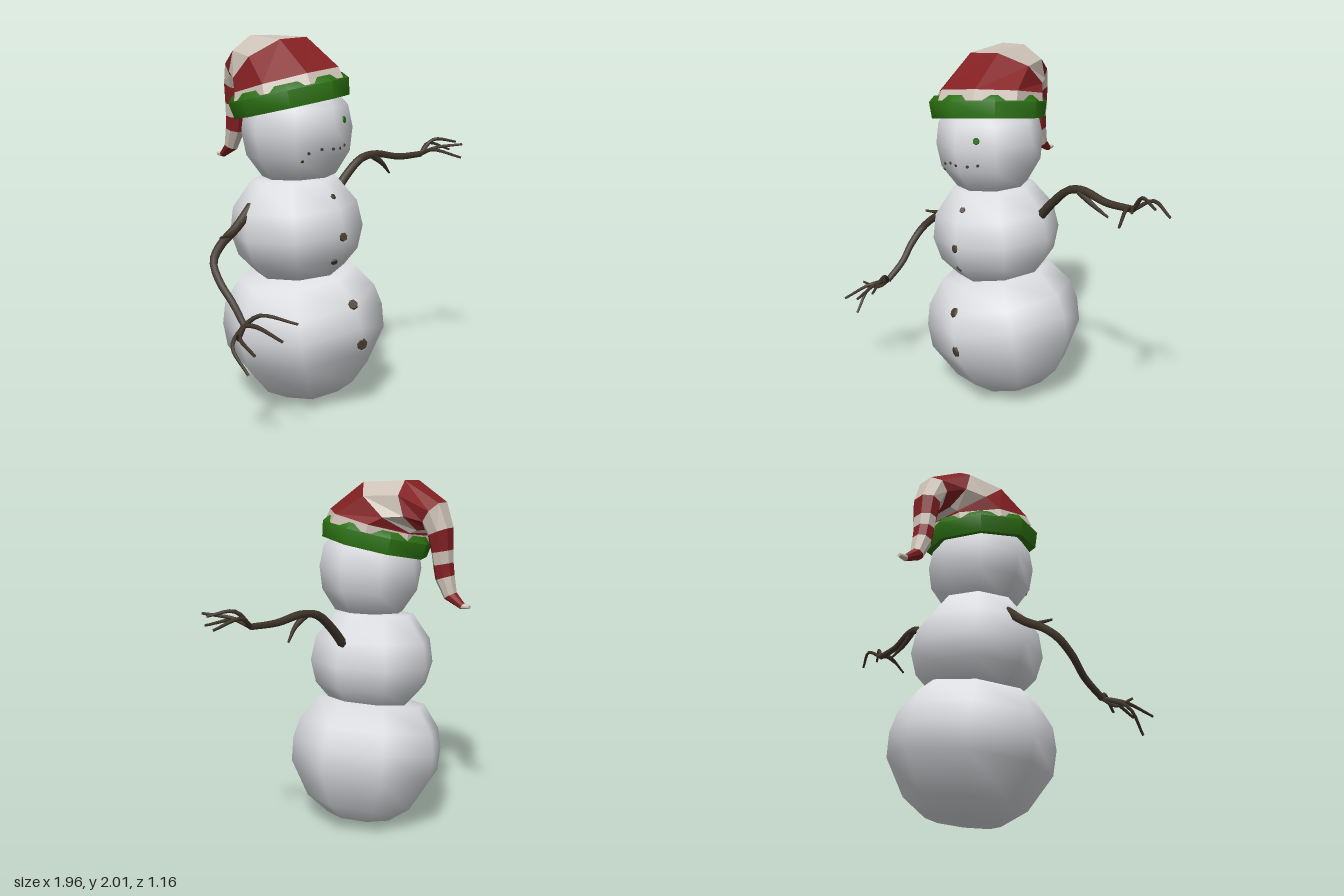
import * as THREE from 'three';
import { toCreasedNormals } from 'three/addons/utils/BufferGeometryUtils.js';

const V = (x, y, z) => new THREE.Vector3(x, y, z);
const mat = (name, color) => Object.assign(new THREE.MeshStandardMaterial({ color }), { name });

export function createModel() {
  const snow = mat('snow', 0xdcdee2);
  const red = mat('hatRed', 0x842022);
  const cream = mat('hatCream', 0xcdc2b7);
  const green = mat('green', 0x2b7011);
  const bark = mat('bark', 0x40352a);
  const coal = mat('coal', 0x4a3f32);
  red.side = cream.side = bark.side = THREE.DoubleSide;

  const model = new THREE.Group();
  model.name = 'snowman';
  const add = (name, geometry, material, parent = model) => {
    const mesh = new THREE.Mesh(geometry, material);
    mesh.name = name;
    parent.add(mesh);
    return mesh;
  };
  const profile = (pts) => pts.map(([r, y]) => new THREE.Vector2(r, y));

  // Snowballs: eight-sided, smooth, each leaning a little
  const ball = (name, pos, tilt, pts) => {
    const mesh = add(name, new THREE.LatheGeometry(profile(pts), 8), snow);
    mesh.position.set(...pos);
    mesh.rotation.z = tilt;
    mesh.updateMatrixWorld();
    return mesh;
  };
  const balls = [
    ball('baseBall', [-0.16, 0.4, 0.03], 0.18, [[0, -0.39], [0.2, -0.375], [0.33, -0.28],
      [0.445, -0.08], [0.45, 0.06], [0.42, 0.18], [0.32, 0.315], [0, 0.34]]),
    ball('middleBall', [-0.215, 0.97, 0.03], 0.08, [[0, -0.28], [0.24, -0.25], [0.33, -0.15],
      [0.365, -0.02], [0.34, 0.12], [0.23, 0.265], [0, 0.28]]),
    ball('head', [-0.23, 1.47, 0.055], 0.06, [[0, -0.25], [0.2, -0.22], [0.28, -0.1],
      [0.3, 0.03], [0.28, 0.15], [0.2, 0.24], [0, 0.27]]),
  ];

  // Pebbles pressed into the front: found by casting a ray onto the snow
  const ray = new THREE.Raycaster();
  const pebble = (name, x, y, r, material) => {
    ray.set(V(x, y, 3), V(0, 0, -1));
    const hit = ray.intersectObjects(balls)[0];
    if (!hit) return;
    const geo = new THREE.CylinderGeometry(r * 0.8, r, 0.012, 7).rotateX(Math.PI / 2);
    const mesh = add(name, geo, material);
    const normal = hit.face.normal.clone().transformDirection(hit.object.matrixWorld);
    mesh.position.copy(hit.point);
    mesh.quaternion.setFromUnitVectors(V(0, 0, 1), normal);
  };
  [[-0.22, 1.155, 0.019], [-0.22, 0.95, 0.025], [-0.235, 0.81, 0.022],
    [-0.195, 0.59, 0.03], [-0.16, 0.37, 0.034]].forEach((b) => pebble('button', ...b, coal));
  [[-0.39, 1.35], [-0.365, 1.39], [-0.3, 1.41], [-0.24, 1.41], [-0.175, 1.41], [-0.12, 1.42]]
    .forEach((m) => pebble('mouthPebble', ...m, 0.01, coal));
  pebble('eye', -0.125, 1.555, 0.022, green);

  // Hat brim
  const brimProfile = [[0.26, -0.055], [0.315, -0.06], [0.33, 0.03], [0.3, 0.065], [0.26, 0.06]];
  const brim = add('hatBrim',
    toCreasedNormals(new THREE.LatheGeometry(profile(brimProfile), 8), 0.9), green);
  brim.position.set(-0.26, 1.675, 0.03);
  brim.rotation.set(-0.17, 0, 0.13);

  // Hat cross-sections: outer z, y, inner z, y, half width, sideways slope
  const sections = [
    [0.31, 1.76, -0.25, 1.66, 0.29, 0.13], [0.28, 1.815, -0.25, 1.7, 0.28, 0.13],
    [0.06, 1.98, -0.25, 1.71, 0.235, 0.08], [-0.2, 2.0, -0.28, 1.73, 0.18, 0.03],
    [-0.4, 1.885, -0.31, 1.745, 0.11, 0], [-0.45, 1.75, -0.33, 1.7, 0.085, 0],
    [-0.455, 1.63, -0.35, 1.61, 0.07, 0], [-0.46, 1.56, -0.36, 1.54, 0.062, 0],
    [-0.47, 1.49, -0.375, 1.46, 0.055, 0], [-0.49, 1.395, -0.43, 1.36, 0.04, 0],
    [-0.545, 1.34, -0.53, 1.31, 0.02, 0], [-0.58, 1.335, -0.58, 1.315, 0.012, 0],
  ];
  const ring = ([z1, y1, z2, y2, w, slope]) => Array.from({ length: 8 }, (_, i) => {
    const a = (i + 0.5) * Math.PI / 4;
    const c = Math.cos(a) / Math.cos(Math.PI / 8), x = w * Math.sin(a) / Math.cos(Math.PI / 8);
    return V(-0.26 + x, (y1 + y2) / 2 + c * (y1 - y2) / 2 + slope * x,
      (z1 + z2) / 2 + c * (z1 - z2) / 2);
  });
  const hat = new THREE.Group();
  hat.name = 'hat';
  model.add(hat);
  for (let s = 0; s < sections.length - 1; s++) {
    const a = ring(sections[s]), b = ring(sections[s + 1]), pts = [];
    for (let i = 0; i < 8; i++) {
      const j = (i + 1) % 8;
      pts.push(a[i], a[j], b[j], a[i], b[j], b[i]);
    }
    if (s === sections.length - 2) for (let i = 1; i < 7; i++) pts.push(b[0], b[i], b[i + 1]);
    const geo = new THREE.BufferGeometry().setFromPoints(pts);
    geo.computeVertexNormals();
    add('hatStripe', geo, s % 2 ? red : cream, hat);
  }

  // Branches: tubes that taper along their length
  const branch = (name, pts, r0, r1, parent) => {
    const curve = new THREE.CatmullRomCurve3(pts.map((p) => V(...p)));
    const segs = pts.length * 3, sides = 6;
    const geo = new THREE.TubeGeometry(curve, segs, r0, sides);
    const pos = geo.attributes.position, v = V(0, 0, 0);
    for (let i = 0; i < pos.count; i++) {
      const t = Math.floor(i / (sides + 1)) / segs;
      const c = curve.getPointAt(t);
      v.fromBufferAttribute(pos, i).sub(c).multiplyScalar(1 + t * (r1 / r0 - 1)).add(c);
      pos.setXYZ(i, v.x, v.y, v.z);
    }
    add(name, geo, bark, parent);
  };
  const arm = (name, limb, twig, fingers) => {
    const group = new THREE.Group();
    group.name = name;
    model.add(group);
    branch('armBranch', limb, 0.027, 0.018, group);
    branch('twig', twig, 0.02, 0.006, group);
    fingers.forEach((f) => branch('finger', [limb[limb.length - 1], ...f], 0.013, 0.007, group));
  };
  arm('leftArm',
    [[0.09, 1.1, 0.02], [0.18, 1.2, 0.025], [0.3, 1.3, 0.04], [0.41, 1.32, 0.06],
      [0.57, 1.295, 0.095], [0.75, 1.3, 0.12]],
    [[0.38, 1.31, 0.06], [0.46, 1.26, 0.065], [0.55, 1.195, 0.04]],
    [[[0.85, 1.36, 0.1], [0.98, 1.315, 0.16]], [[0.82, 1.385, 0.16], [0.94, 1.37, 0.24]],
      [[0.79, 1.34, 0.2], [0.87, 1.365, 0.34]], [[0.76, 1.33, 0.2], [0.82, 1.29, 0.37]]]);
  arm('rightArm',
    [[-0.5, 1.1, -0.015], [-0.61, 1.0, -0.01], [-0.73, 0.92, 0], [-0.8, 0.85, 0.03],
      [-0.825, 0.76, 0.11], [-0.82, 0.67, 0.2], [-0.84, 0.58, 0.31]],
    [[-0.58, 1.03, -0.01], [-0.66, 0.975, 0.01], [-0.76, 0.97, 0.04]],
    [[[-0.8, 0.635, 0.38], [-0.715, 0.61, 0.56]], [[-0.84, 0.59, 0.4], [-0.83, 0.55, 0.575]],
      [[-0.93, 0.55, 0.38], [-0.975, 0.505, 0.54]], [[-0.96, 0.51, 0.36], [-0.955, 0.39, 0.47]],
      [[-0.9, 0.53, 0.34], [-0.96, 0.57, 0.4]]]);

  return model;
}
